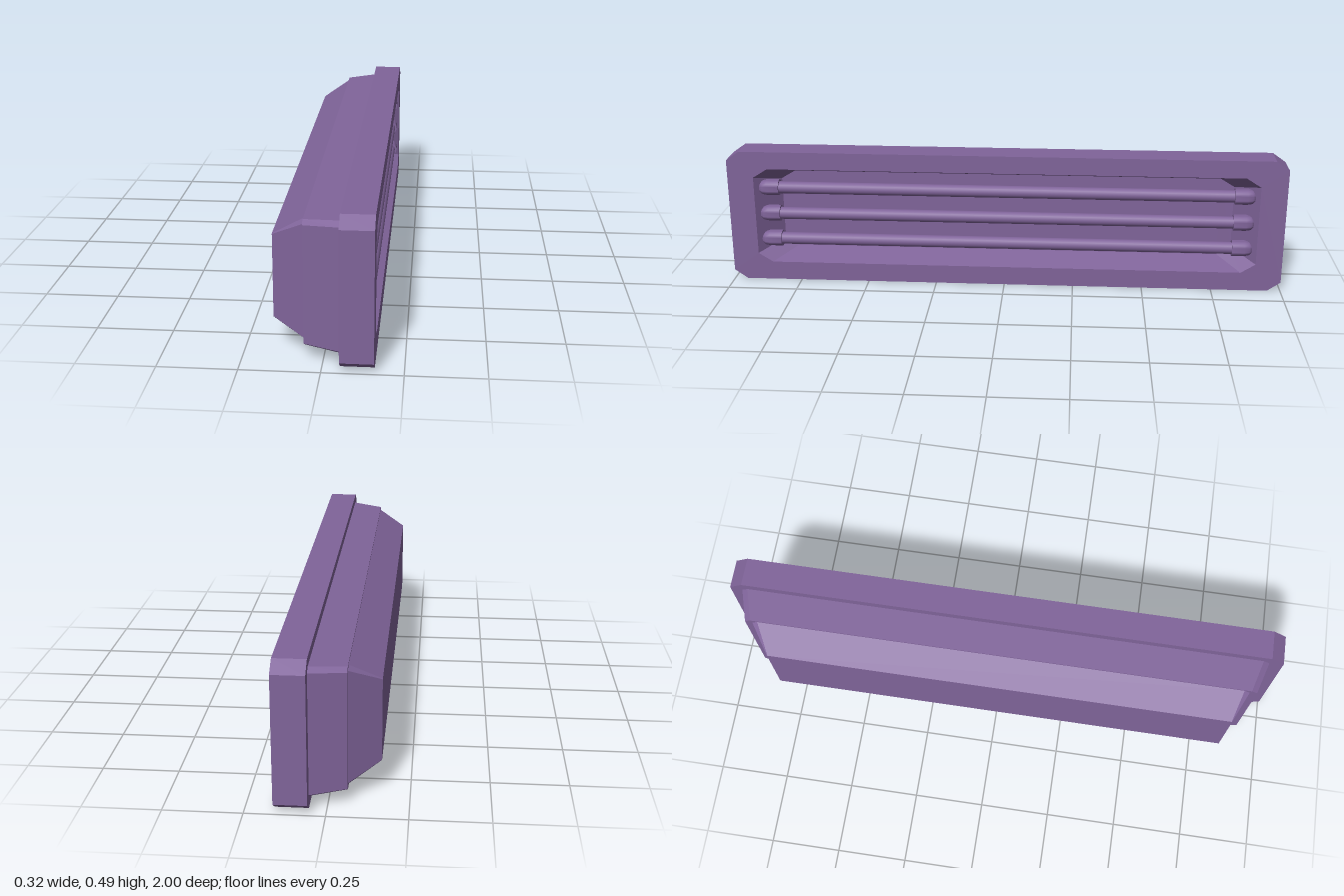
import * as THREE from 'three';
import { toCreasedNormals } from 'three/addons/utils/BufferGeometryUtils.js';

// Chamfered rectangle at depth x: y range, z range, chamfer sizes
function ring(x, y0, y1, z0, z1, cy, cz) {
  return [
    [x, y1, z0 + cz], [x, y1, z1 - cz], [x, y1 - cy, z1], [x, y0 + cy, z1],
    [x, y0, z1 - cz], [x, y0, z0 + cz], [x, y0 + cy, z0], [x, y1 - cy, z0],
  ];
}

// Skin successive rings and cap both ends
function loft(rings) {
  const pos = [];
  const tri = (a, b, c) => pos.push(...a, ...b, ...c);
  for (let r = 0; r < rings.length - 1; r++) {
    const a = rings[r], b = rings[r + 1];
    for (let i = 0; i < 8; i++) {
      const j = (i + 1) % 8;
      tri(a[i], a[j], b[j]);
      tri(a[i], b[j], b[i]);
    }
  }
  const first = rings[0], last = rings[rings.length - 1];
  for (let i = 1; i < 7; i++) {
    tri(first[0], first[i + 1], first[i]);
    tri(last[0], last[i], last[i + 1]);
  }
  const g = new THREE.BufferGeometry();
  g.setAttribute('position', new THREE.Float32BufferAttribute(pos, 3));
  g.computeVertexNormals();
  return g;
}

export function createModel() {
  const group = new THREE.Group();
  const purple = new THREE.MeshStandardMaterial({ color: 0x80649a });
  purple.name = 'purple';
  const add = (name, geometry, parent = group) => {
    const mesh = new THREE.Mesh(geometry, purple);
    mesh.name = name;
    parent.add(mesh);
    return mesh;
  };

  // Rim with a shallow tapered recess
  add('frame', loft([
    ring(0.055, 0, 0.49, -1, 1, 0.033, 0.047),
    ring(0.16, 0, 0.49, -1, 1, 0.033, 0.047),
    ring(0.16, 0.068, 0.426, -0.906, 0.906, 0.033, 0.052),
    ring(0.064, 0.1, 0.392, -0.825, 0.825, 0.03, 0.05),
  ]));

  // Housing behind the rim, with a small step before the sloped back
  add('housing', loft([
    ring(-0.16, 0.108, 0.383, -0.831, 0.849, 0.002, 0.002),
    ring(-0.06, 0.048, 0.445, -0.897, 0.893, 0.012, 0.02),
    ring(-0.06, 0.042, 0.45, -0.923, 0.918, 0.012, 0.02),
    ring(0.055, 0.032, 0.46, -0.957, 0.951, 0.014, 0.022),
  ]));

  // Tubes with rounded end sockets
  const profile = [[0, 0], [0.029, 0], [0.029, 0.045], [0.026, 0.062], [0.018, 0.073], [0, 0.078]]
    .map(([r, h]) => new THREE.Vector2(r, h));
  const socketShape = toCreasedNormals(new THREE.LatheGeometry(profile, 20), 0.7);
  const tubeShape = new THREE.CylinderGeometry(0.022, 0.022, 1.66, 20, 1, true);
  for (const y of [0.15, 0.248, 0.347]) {
    const lamp = new THREE.Group();
    lamp.name = 'lamp';
    lamp.position.set(0.125, y, 0);
    group.add(lamp);
    add('tube', tubeShape, lamp).rotation.x = Math.PI / 2;
    for (const s of [-1, 1]) {
      const socket = add('socket', socketShape, lamp);
      socket.rotation.x = s * Math.PI / 2;
      socket.position.z = s * 0.82;
    }
  }
  return group;
}
